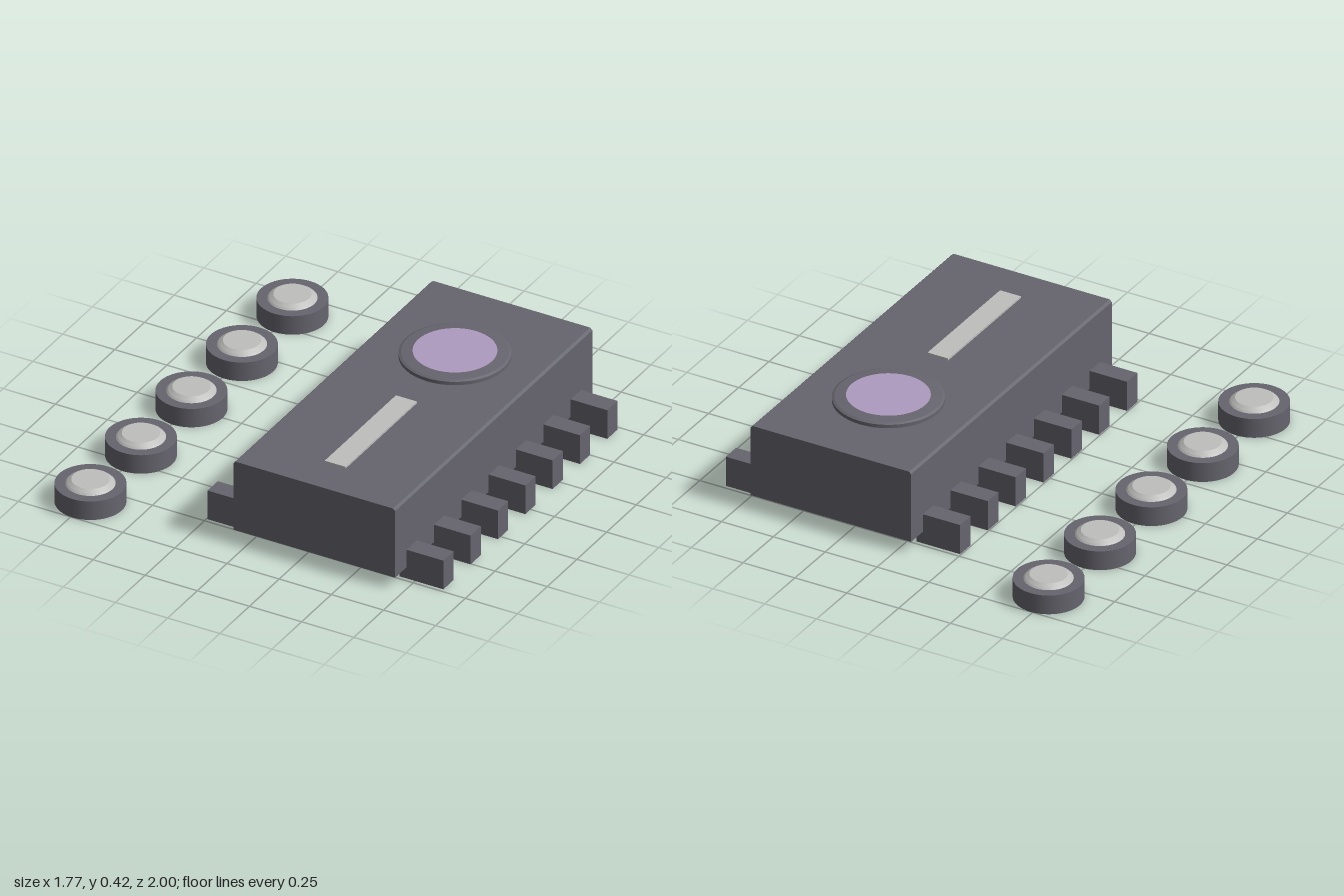
import * as THREE from 'three';

const dark = new THREE.MeshStandardMaterial({ name: 'dark grey', color: 0x66656e });
const light = new THREE.MeshStandardMaterial({ name: 'light grey', color: 0xbebebc });
const lilac = new THREE.MeshStandardMaterial({ name: 'lilac', color: 0xad9bc0 });

function add(parent, name, geometry, material, x, y, z) {
  const mesh = new THREE.Mesh(geometry, material);
  mesh.name = name;
  mesh.position.set(x, y, z);
  parent.add(mesh);
  return mesh;
}

// Turned part with sharp edges: every profile segment is lathed separately.
function turned(parent, name, profile, material, x, y, z) {
  const part = new THREE.Group();
  part.name = name;
  part.position.set(x, y, z);
  for (let i = 0; i < profile.length - 1; i++) {
    const points = [profile[i], profile[i + 1]].map(([r, h]) => new THREE.Vector2(r, h));
    add(part, name + 'Surface', new THREE.LatheGeometry(points, 48), material, 0, 0, 0);
  }
  parent.add(part);
}

// Block whose upper rim is drawn in by a small chamfer.
function chamferedBlock(w, h, d, c) {
  const lower = new THREE.Shape([
    new THREE.Vector2(-w / 2, 0), new THREE.Vector2(w / 2, 0),
    new THREE.Vector2(w / 2, h - c), new THREE.Vector2(w / 2 - c, h),
    new THREE.Vector2(-w / 2 + c, h), new THREE.Vector2(-w / 2, h - c),
  ]);
  const geometry = new THREE.ExtrudeGeometry(lower, { depth: d, bevelEnabled: false, steps: 1 });
  geometry.translate(0, 0, -d / 2);
  return geometry;
}

export function createModel() {
  const model = new THREE.Group();
  model.name = 'chipAndButtons';

  // Main housing
  add(model, 'housing', chamferedBlock(0.774, 0.335, 1.66, 0.01), dark, 0.322, 0.055, 0);

  // Seven pins on each long side
  const pin = new THREE.BoxGeometry(0.21, 0.14, 0.086);
  for (let i = -3; i <= 3; i++) {
    add(model, 'leftPin', pin, dark, 0.78, 0.07, i * 0.23);
    add(model, 'rightPin', pin, dark, -0.14, 0.07, i * 0.23);
  }

  // Round bezel with its lens
  turned(model, 'bezel', [[0.236, 0], [0.236, 0.016], [0.225, 0.021], [0.177, 0.026]], dark, 0.32, 0.39, -0.357);
  turned(model, 'lens', [[0.177, 0.026], [0, 0.026]], lilac, 0.32, 0.39, -0.357);

  // Light strip
  add(model, 'strip', new THREE.BoxGeometry(0.1, 0.009, 0.6), light, 0.32, 0.3945, 0.352);

  // Row of round buttons: dark collar around a light core
  for (let i = -2; i <= 2; i++) {
    const z = i * 0.425;
    turned(model, 'buttonCollar', [[0.105, 0], [0.15, 0], [0.15, 0.09], [0.105, 0.09]], dark, -0.74, 0, z);
    turned(model, 'buttonCore', [[0, 0], [0.105, 0]], light, -0.74, 0, z);
    turned(model, 'buttonCap', [[0.105, 0.09], [0.098, 0.097], [0.08, 0.109], [0, 0.109]], light, -0.74, 0, z);
  }
  return model;
}
